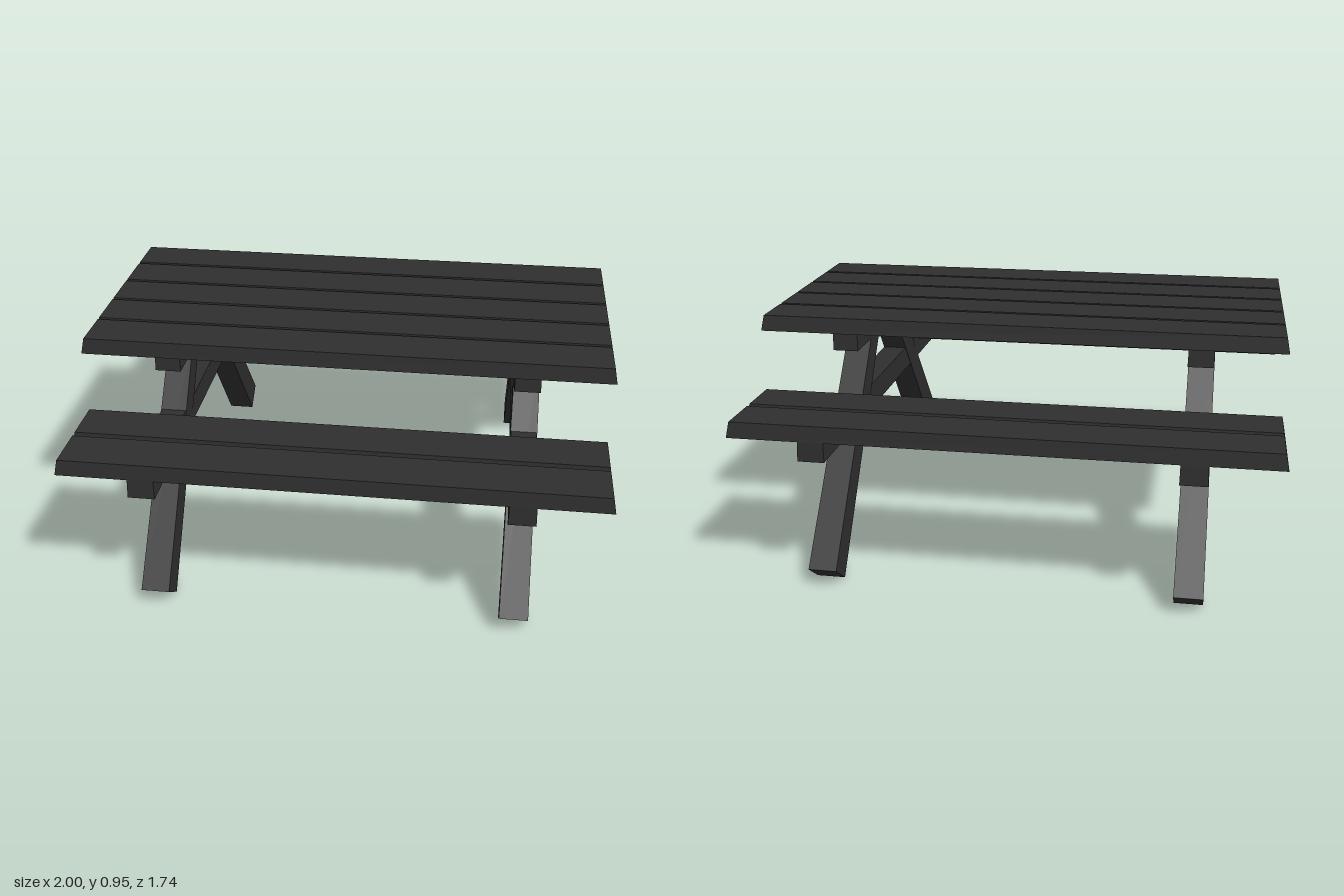
import * as THREE from 'three';

const wood = new THREE.MeshStandardMaterial({ color: 0x2e2e2e, flatShading: true });

// Box standing on its origin, narrowing from (bx, bz) at the bottom to (tx, tz) at the top
function taperedBox(name, bx, bz, tx, tz, height) {
  const geo = new THREE.BoxGeometry(1, height, 1).translate(0, height / 2, 0);
  const p = geo.attributes.position;
  for (let i = 0; i < p.count; i++) {
    const top = p.getY(i) > height / 2;
    p.setX(i, p.getX(i) * (top ? tx : bx));
    p.setZ(i, p.getZ(i) * (top ? tz : bz));
  }
  geo.computeVertexNormals();
  const mesh = new THREE.Mesh(geo, wood);
  mesh.name = name;
  return mesh;
}

export function createModel() {
  const table = new THREE.Group();
  table.name = 'picnicTable';

  const add = (mesh, x, y, z) => {
    mesh.position.set(x, y, z);
    table.add(mesh);
    return mesh;
  };
  const plank = (name, y, z) =>
    add(taperedBox(name, 2, 0.187, 1.976, 0.172, 0.06), 0, y, z);

  // Table top: five planks side by side
  for (let i = -2; i <= 2; i++) plank('topPlank', 0.895, i * 0.1875);

  // Benches: two planks on each side
  for (const side of [1, -1]) {
    for (const z of [0.775, 0.578]) plank('seatPlank', 0.605, side * z);
  }

  // Two end frames: cross beams and a pair of splayed legs
  const legFoot = { y: 0.037, z: 0.783 };
  const legHead = { y: 0.85, z: 0.15 };
  const rise = legHead.y - legFoot.y;
  const run = legFoot.z - legHead.z;
  for (const x of [-0.684, 0.684]) {
    add(taperedBox('topBeam', 0.099, 0.83, 0.095, 0.818, 0.085), x, 0.813, 0);
    add(taperedBox('seatBeam', 0.1, 1.74, 0.096, 1.728, 0.094), x, 0.531, 0);
    for (const side of [1, -1]) {
      const leg = taperedBox('leg', 0.108, 0.119, 0.098, 0.092, Math.hypot(rise, run));
      add(leg, x, legFoot.y, side * legFoot.z).rotation.x = -side * Math.atan2(run, rise);
    }
  }
  return table;
}
